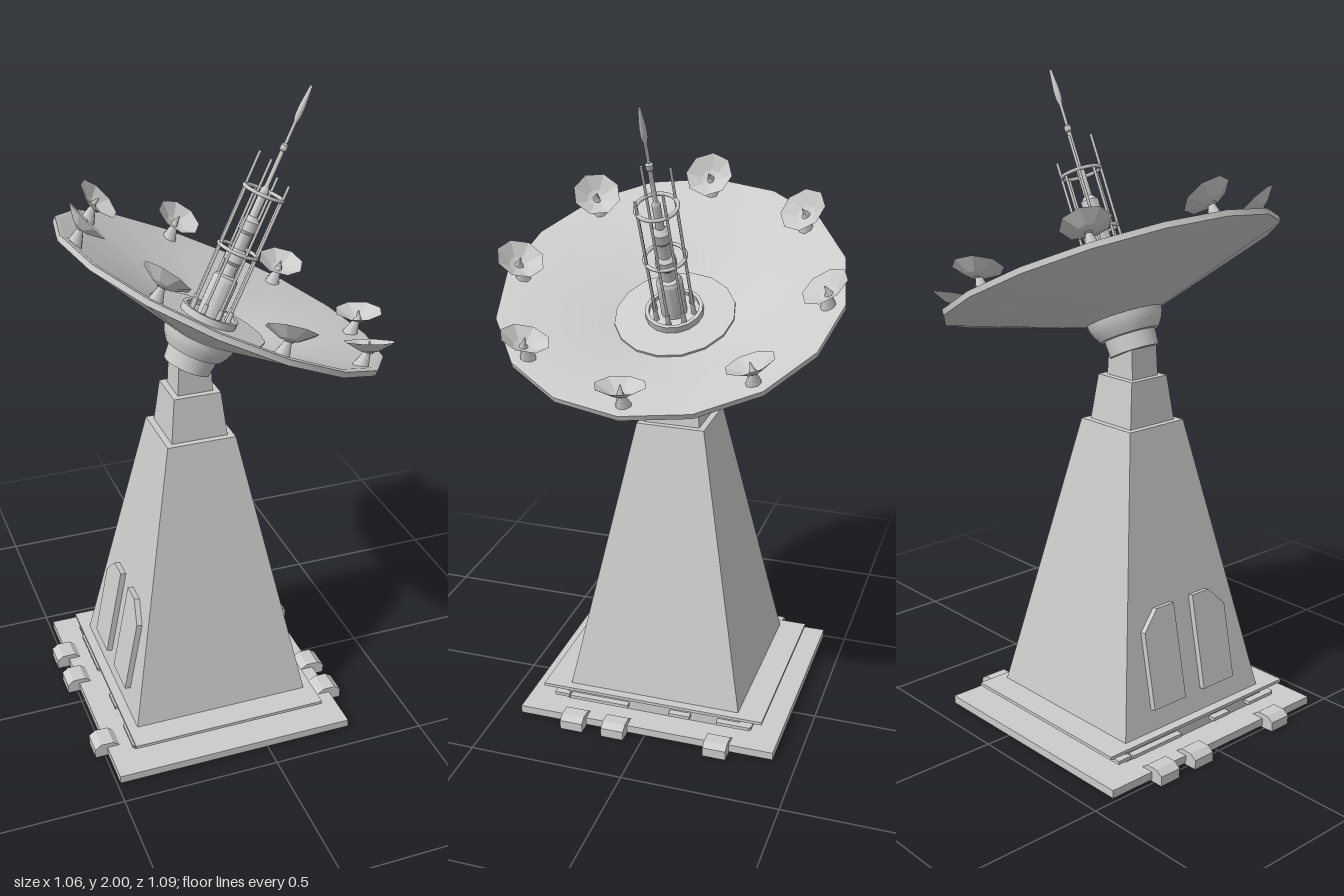
import * as THREE from 'three';
import { toCreasedNormals } from 'three/addons/utils/BufferGeometryUtils.js';

const V = (pts) => pts.map(([x, y]) => new THREE.Vector2(x, y));

export function createModel() {
  const model = new THREE.Group();
  const smooth = new THREE.MeshStandardMaterial({ color: 0xcccccc });
  const flat = new THREE.MeshStandardMaterial({ color: 0xcccccc, flatShading: true });
  const flatDouble = new THREE.MeshStandardMaterial({ color: 0xcccccc, flatShading: true, side: THREE.DoubleSide });

  function add(parent, name, geometry, material = flat, x = 0, y = 0, z = 0) {
    const mesh = new THREE.Mesh(geometry, material);
    mesh.name = name;
    mesh.position.set(x, y, z);
    parent.add(mesh);
    return mesh;
  }
  function group(parent, name, x = 0, y = 0, z = 0) {
    const g = new THREE.Group();
    g.name = name;
    g.position.set(x, y, z);
    parent.add(g);
    return g;
  }
  // Box between two heights whose top differs in size from its bottom
  function block(parent, name, y0, y1, hx, hz, topX = hx, topZ = hz) {
    const g = new THREE.BoxGeometry(2, y1 - y0, 2);
    const p = g.attributes.position;
    for (let i = 0; i < p.count; i++) {
      const top = p.getY(i) > 0;
      p.setX(i, p.getX(i) * (top ? topX : hx));
      p.setZ(i, p.getZ(i) * (top ? topZ : hz));
    }
    return add(parent, name, g, flat, 0, (y0 + y1) / 2, 0);
  }
  const lathe = (pts, sides, crease = 0.6) =>
    toCreasedNormals(new THREE.LatheGeometry(V(pts), sides), crease);
  // Upright rod between two heights
  function rod(parent, name, r0, r1, y0, y1, x = 0, z = 0, sides = 10) {
    return add(parent, name, new THREE.CylinderGeometry(r1, r0, y1 - y0, sides), smooth, x, (y0 + y1) / 2, z);
  }

  // Base and tower share one vertical axis
  const tower = group(model, 'tower', -0.106);
  block(tower, 'baseSlab', 0.005, 0.03, 0.385, 0.425);
  block(tower, 'plinth', 0.003, 0.075, 0.293, 0.293);
  block(tower, 'basePlate', 0.075, 0.085, 0.315, 0.37);
  block(tower, 'towerBody', 0.085, 0.97, 0.285, 0.285, 0.11, 0.11);
  block(tower, 'towerCap', 0.97, 1.11, 0.09, 0.09, 0.075, 0.072);
  block(tower, 'neck', 1.11, 1.22, 0.056, 0.052, 0.05, 0.05);

  // Clamps and broken rails on the two long edges, turned half round from each other
  const clampShape = new THREE.Shape(V([[0.345, 0], [0.425, 0], [0.425, 0.03], [0.405, 0.045], [0.365, 0.045], [0.345, 0.03]]));
  const clampGeometry = new THREE.ExtrudeGeometry(clampShape, { depth: 0.075, bevelEnabled: false });
  clampGeometry.translate(0, 0, -0.0375);
  for (const turn of [0, Math.PI]) {
    const row = group(tower, 'clampRow');
    row.rotation.y = turn;
    for (const z of [0.235, 0.095, -0.245]) add(row, 'clamp', clampGeometry, flat, 0, 0, z);
    for (const [z, length] of [[0.18, 0.2], [-0.095, 0.07], [-0.275, 0.11]]) {
      add(row, 'sideRail', new THREE.BoxGeometry(0.03, 0.011, length), flat, 0.3, 0.05, z);
    }
    add(row, 'endRail', new THREE.BoxGeometry(0.62, 0.011, 0.05), flat, 0, 0.05, 0.31);
  }

  // Pair of sloping wall panels with a cut outer corner
  const panels = group(tower, 'wallPanels', -0.27, 0.15, 0);
  panels.rotation.z = -0.195;
  for (const s of [-1, 1]) {
    const pts = [[0.04, 0], [0.17, 0], [0.17, 0.24], [0.11, 0.3], [0.04, 0.3]].map(([x, y]) => [x * s, y]);
    const g = new THREE.ExtrudeGeometry(new THREE.Shape(V(pts)), { depth: 0.02, bevelEnabled: false });
    add(panels, 'wallPanel', g).rotation.y = -Math.PI / 2;
  }

  // Tilted head carrying the dish
  const head = group(model, 'head', -0.106, 1.201, 0);
  head.rotation.z = -0.44;
  add(head, 'hub', lathe([
    [0, -0.02], [0.076, -0.02], [0.08, 0.03], [0.092, 0.032], [0.107, 0.055], [0.115, 0.075], [0.118, 0.092],
  ], 24), smooth);
  add(head, 'mainDish', lathe([
    [0, 0.09], [0.118, 0.09], [0.533, 0.225], [0.533, 0.243], [0.515, 0.243],
    [0.187, 0.134], [0.187, 0.141], [0, 0.141],
  ], 16, 0.45), smooth);
  add(head, 'feedBase', lathe([[0.09, 0.135], [0.09, 0.163], [0.078, 0.163], [0.078, 0.15], [0, 0.15]], 16), smooth);

  // Eight small dishes around the rim, leaning inwards
  for (let i = 0; i < 8; i++) {
    const arm = group(head, 'smallDishUnit');
    arm.rotation.y = (i * Math.PI) / 4;
    rod(arm, 'smallDishFoot', 0.026, 0.007, 0.226, 0.285, 0.482, 0, 8);
    const dish = group(arm, 'smallDish', 0.474, 0.306, 0);
    dish.rotation.z = 0.44;
    const bowl = new THREE.LatheGeometry(V([[0, -0.034], [0.03, -0.026], [0.076, 0]]), 8);
    add(dish, 'smallDishBowl', bowl, flatDouble);
    rod(dish, 'smallDishSpike', 0.012, 0.002, -0.034, 0.002, 0, 0, 8);
  }

  // Central feed: stepped core, thin mast and pointed tip
  const feed = group(head, 'feed');
  add(feed, 'feedCore', lathe([
    [0.04, 0.14], [0.04, 0.27], [0.034, 0.28], [0.022, 0.285], [0.022, 0.32], [0.032, 0.33],
    [0.032, 0.36], [0.02, 0.37], [0.02, 0.42], [0.028, 0.43], [0.028, 0.46], [0.013, 0.475],
    [0.013, 0.56], [0.007, 0.57], [0.007, 0.68], [0.011, 0.685], [0.011, 0.7], [0.005, 0.705], [0.005, 0.77],
    [0.01, 0.79], [0.01, 0.82], [0.004, 0.883], [0, 0.883],
  ], 14), smooth);

  // Cage of rods tied by two rings
  const cage = 0.062;
  for (let i = 0; i < 8; i++) {
    const a = (i * Math.PI) / 4;
    const x = Math.cos(a) * cage, z = Math.sin(a) * cage;
    const top = i % 2 === 0 ? 0.55 : x < 0 ? 0.655 : 0.6;
    rod(feed, 'cageRod', 0.0045, 0.0045, 0.14, top, x, z, 8);
    rod(feed, 'cageRodSocket', 0.009, 0.007, 0.14, 0.19, x, z, 8);
  }
  for (const y of [0.365, 0.55]) {
    const ring = add(feed, 'cageRing', new THREE.TorusGeometry(cage, 0.006, 8, 24), smooth, 0, y, 0);
    ring.rotation.x = Math.PI / 2;
  }
  return model;
}
